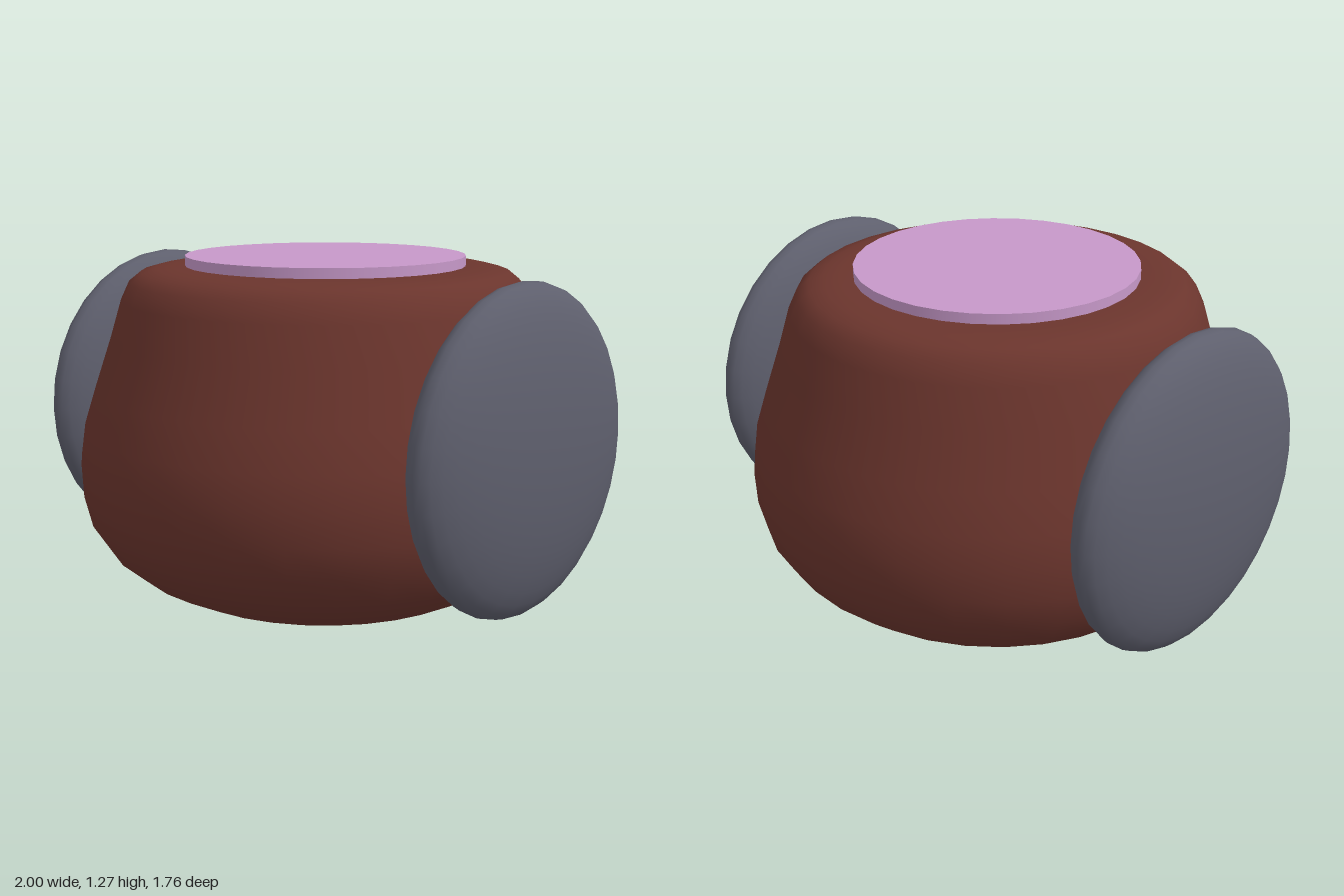
import * as THREE from 'three';

const material = (color) => new THREE.MeshStandardMaterial({ color });

export function createModel() {
  const model = new THREE.Group();
  const add = (name, geometry, mat, x, y, z) => {
    const mesh = new THREE.Mesh(geometry, mat);
    mesh.name = name;
    mesh.position.set(x, y, z);
    model.add(mesh);
    return mesh;
  };

  // Rounded pot-shaped body, profile from the underside up to the flat top
  const profile = [
    [0, 0.005], [0.2, 0.018], [0.39, 0.047], [0.54, 0.09], [0.675, 0.155],
    [0.775, 0.236], [0.844, 0.34], [0.872, 0.45], [0.878, 0.565], [0.862, 0.68],
    [0.82, 0.815], [0.762, 0.99], [0.722, 1.125], [0.692, 1.19], [0.65, 1.224],
    [0.6, 1.237], [0.545, 1.242], [0.4, 1.243], [0, 1.243],
  ].map(([r, y]) => new THREE.Vector2(r, y));
  add('body', new THREE.LatheGeometry(profile, 32), material(0x6b352d), 0, 0, 0);

  // Thin disc on top
  add('topDisc', new THREE.CylinderGeometry(0.495, 0.495, 0.035, 32), material(0xc698c8), 0, 1.262, 0);

  // Flattened round pads on both sides
  const padGeometry = new THREE.SphereGeometry(0.555, 32, 20).rotateZ(Math.PI / 2).scale(0.28, 1, 1);
  const padMaterial = material(0x5e5f6d);
  for (const side of [1, -1]) {
    add(side > 0 ? 'leftPad' : 'rightPad', padGeometry, padMaterial, side * 0.845, 0.692, 0);
  }

  return model;
}
